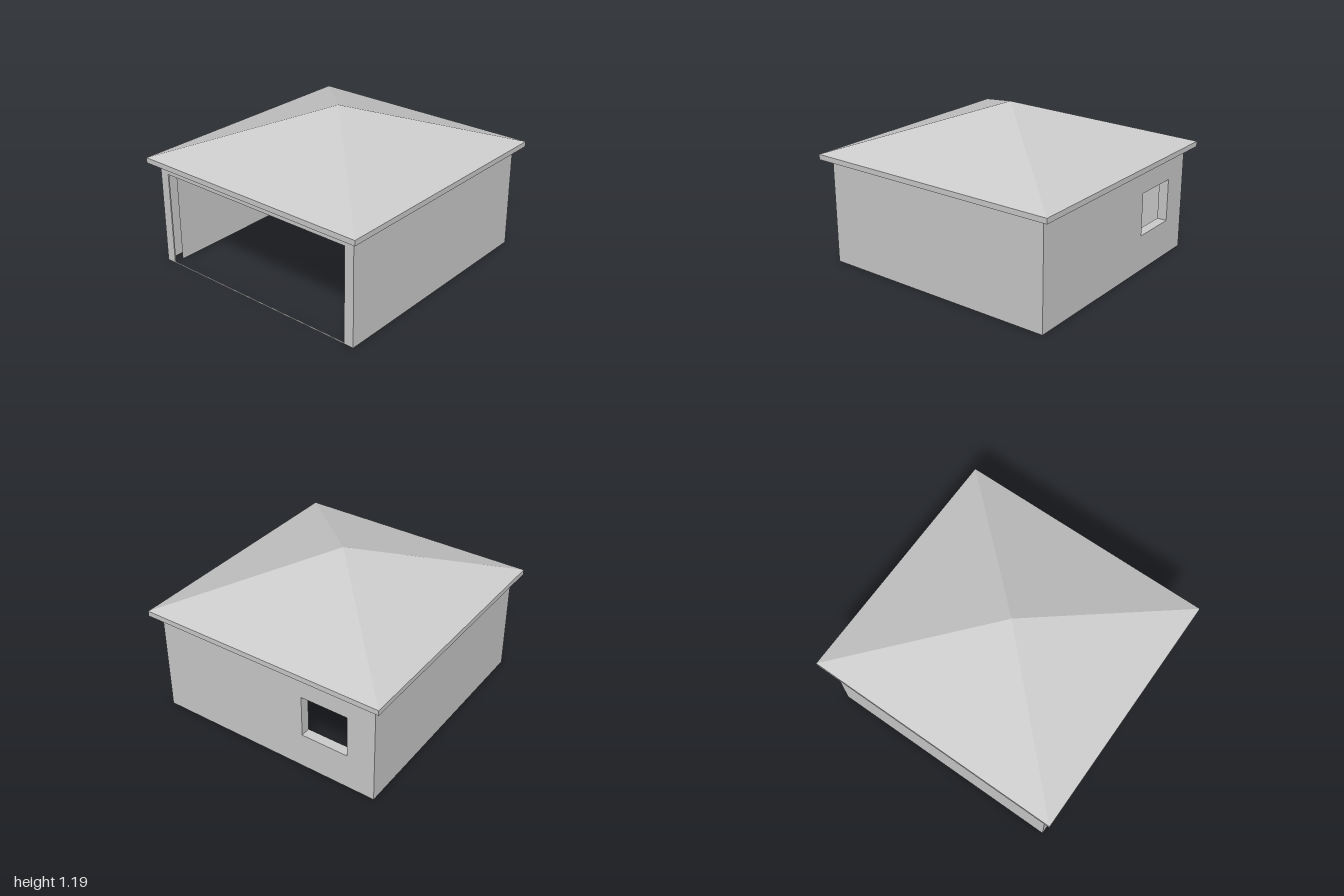
import * as THREE from 'three';
import { ConvexGeometry } from 'three/addons/geometries/ConvexGeometry.js';

const WX = 0.895, WZ = 0.93, WALL_H = 0.8, T = 0.075;      // outer half sizes, wall height, thickness
const IX = WX - T, IZ = WZ - T, CEILING = 0.725;           // inner room
const LIP = 0.01;                                          // depth of the doorway edge
const DOOR = { x0: -0.82, x1: 0.82, y0: 0.004, y1: 0.725 };
const WINDOW = { x0: -0.68, x1: -0.313, y0: 0.277, y1: 0.602 };

const grey = new THREE.MeshStandardMaterial({ color: 0xcccccc, side: THREE.DoubleSide });
grey.name = 'plainGrey';

function rectPoints({ x0, x1, y0, y1 }) {
  return [[x0, y0], [x1, y0], [x1, y1], [x0, y1]].map(([x, y]) => new THREE.Vector2(x, y));
}

// Upright skin across x, with an opening
function crossSkin(halfWidth, height, hole) {
  const shape = new THREE.Shape(rectPoints({ x0: -halfWidth, x1: halfWidth, y0: 0, y1: height }));
  shape.holes.push(new THREE.Path(rectPoints(hole)));
  return new THREE.ShapeGeometry(shape);
}

export function createModel() {
  const model = new THREE.Group();
  model.name = 'garage';

  const add = (parent, name, geometry, x = 0, y = 0, z = 0, ry = 0, rx = 0) => {
    const mesh = new THREE.Mesh(geometry, grey);
    mesh.name = name;
    mesh.position.set(x, y, z);
    mesh.rotation.set(rx, ry, 0);
    parent.add(mesh);
  };

  // Lining of an opening, centred on z
  const addLining = (parent, name, o, z, depth) => {
    const w = o.x1 - o.x0, h = o.y1 - o.y0, cx = (o.x0 + o.x1) / 2, cy = (o.y0 + o.y1) / 2;
    add(parent, name + 'RightJamb', new THREE.PlaneGeometry(depth, h), o.x0, cy, z, Math.PI / 2);
    add(parent, name + 'LeftJamb', new THREE.PlaneGeometry(depth, h), o.x1, cy, z, -Math.PI / 2);
    add(parent, name + 'Head', new THREE.PlaneGeometry(w, depth), cx, o.y1, z, 0, Math.PI / 2);
    add(parent, name + 'Sill', new THREE.PlaneGeometry(w, depth), cx, o.y0, z, 0, -Math.PI / 2);
  };

  // Front wall: a single skin with the wide doorway and its thin threshold
  const front = new THREE.Group();
  front.name = 'frontWall';
  add(front, 'frontSkin', crossSkin(WX, WALL_H, DOOR), 0, 0, WZ);
  addLining(front, 'door', DOOR, WZ - LIP / 2, LIP);
  model.add(front);

  // Back wall with the window; the outer skin is turned round, so its opening is mirrored
  const back = new THREE.Group();
  back.name = 'backWall';
  const mirrored = { ...WINDOW, x0: -WINDOW.x1, x1: -WINDOW.x0 };
  add(back, 'backOuterSkin', crossSkin(WX, WALL_H, mirrored), 0, 0, -WZ, Math.PI);
  add(back, 'backInnerSkin', crossSkin(IX, CEILING, WINDOW), 0, 0, -IZ);
  addLining(back, 'window', WINDOW, -WZ + T / 2, T);
  model.add(back);

  // Side walls, hollow and open at the bottom
  for (const [side, s] of [['left', 1], ['right', -1]]) {
    const wall = new THREE.Group();
    wall.name = side + 'Wall';
    add(wall, side + 'OuterSkin', new THREE.PlaneGeometry(2 * WZ, WALL_H), s * WX, WALL_H / 2, 0, s * Math.PI / 2);
    add(wall, side + 'InnerSkin', new THREE.PlaneGeometry(2 * IZ, CEILING), s * IX, CEILING / 2, 0, -s * Math.PI / 2);
    model.add(wall);
  }

  // Ceiling of the inner room
  add(model, 'ceiling', new THREE.PlaneGeometry(2 * IX, 2 * IZ), 0, CEILING, 0, 0, Math.PI / 2);

  // Hipped roof with a shallow eaves band and a tiny flat peak
  const roofPoints = [];
  for (const x of [-1, 1])
    for (const z of [-1, 1]) {
      roofPoints.push(new THREE.Vector3(x * 0.008, 1.187, 0.013 + z * 0.008));
      for (const y of [0.8, 0.84]) roofPoints.push(new THREE.Vector3(x * 0.96, y, z));
    }
  add(model, 'roof', new ConvexGeometry(roofPoints));

  return model;
}
